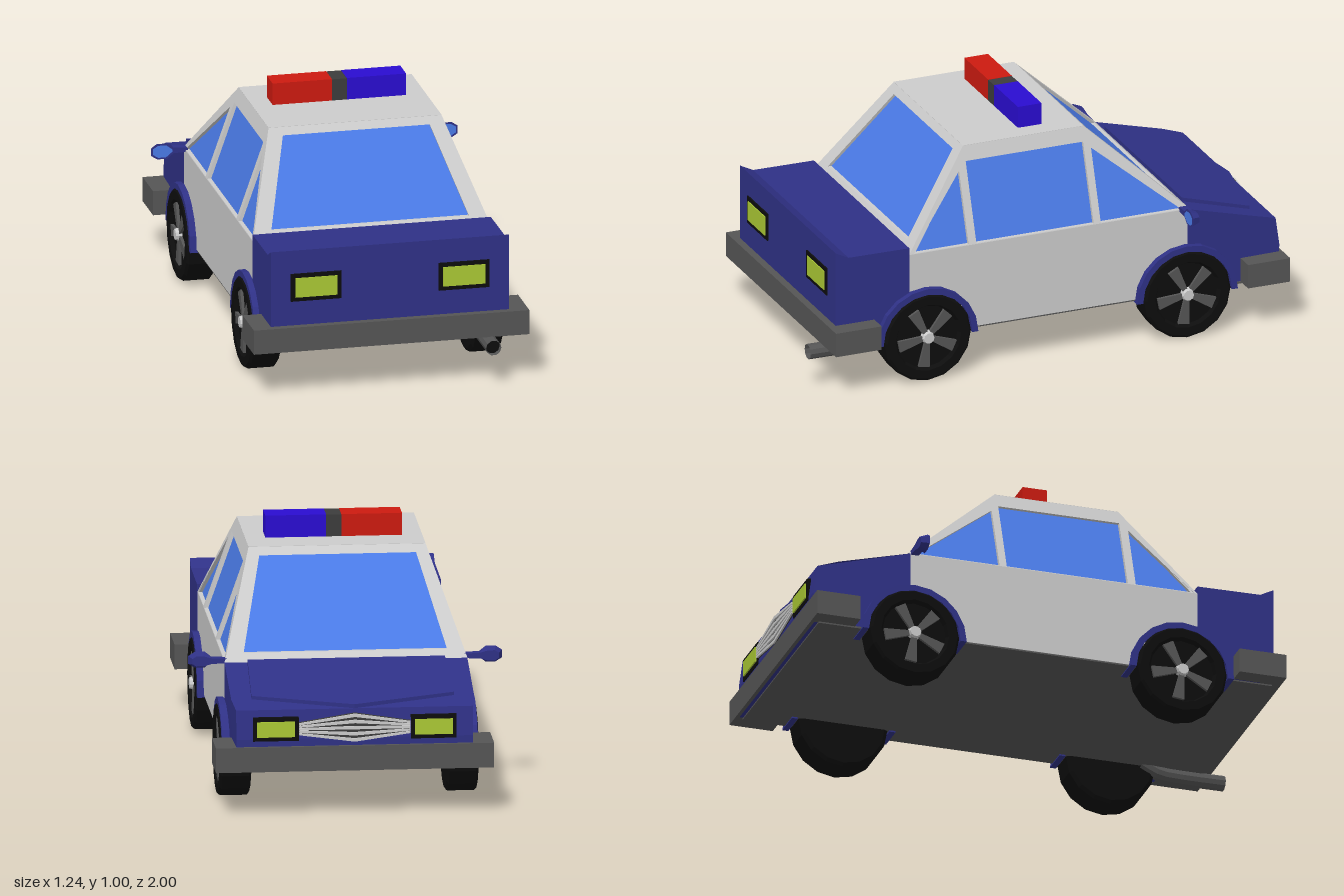
import * as THREE from 'three';

const mat = (color) => new THREE.MeshStandardMaterial({ color, flatShading: true });
const paint = mat(0x2f3186), white = mat(0xcccccc), glass = mat(0x4a7ae6), grey = mat(0x555555),
  black = mat(0x0d0d0d), lamp = mat(0xaac834), red = mat(0xcc1a10), blue = mat(0x2a0cd0), dark = mat(0x3c3c3c);

const toShape = (pts) => new THREE.Shape(pts.map(([x, y]) => new THREE.Vector2(x, y)));

// Moves every vertex by a rule (u, v, w) -> [x, y, z]
function remap(geo, rule) {
  const p = geo.attributes.position;
  for (let i = 0; i < p.count; i++) p.setXYZ(i, ...rule(p.getX(i), p.getY(i), p.getZ(i)));
  geo.computeVertexNormals();
  return geo;
}

// Mirrored copy across x = 0 with its winding put right
function mirrored(geo) {
  const g = geo.index ? geo.toNonIndexed() : geo.clone();
  const p = g.attributes.position, a = new THREE.Vector3(), b = new THREE.Vector3();
  g.scale(-1, 1, 1);
  for (let i = 0; i < p.count; i += 3) {
    a.fromBufferAttribute(p, i + 1);
    b.fromBufferAttribute(p, i + 2);
    p.setXYZ(i + 1, b.x, b.y, b.z);
    p.setXYZ(i + 2, a.x, a.y, a.z);
  }
  g.computeVertexNormals();
  return g;
}

// Solid from a side profile of [z, y] points, between two x values
function sideSolid(pts, x0, x1) {
  const geo = new THREE.ExtrudeGeometry(toShape(pts.map(([z, y]) => [-z, y])), { depth: x1 - x0, bevelEnabled: false });
  return geo.rotateY(Math.PI / 2).translate(x0, 0, 0);
}

export function createModel() {
  const car = new THREE.Group();
  car.name = 'patrolCar';
  const add = (name, geo, material) => {
    const m = new THREE.Mesh(geo, material);
    m.name = name;
    car.add(m);
    return m;
  };
  const box = (name, material, x0, x1, y0, y1, z0, z1) =>
    add(name, new THREE.BoxGeometry(x1 - x0, y1 - y0, z1 - z0)
      .translate((x0 + x1) / 2, (y0 + y1) / 2, (z0 + z1) / 2), material);
  const pair = (name, geo, material) => {
    add(name + 'Left', geo, material);
    add(name + 'Right', mirrored(geo), material);
  };

  // Lower body: doors, boot, nose and floor
  box('doors', white, -0.48, 0.48, 0.19, 0.54, -0.59, 0.6);
  add('boot', sideSolid([[0.6, 0.19], [0.6, 0.57], [0.86, 0.572], [0.915, 0.6], [0.915, 0.19]], -0.482, 0.482), paint);
  const nose = sideSolid([[-0.59, 0.19], [-0.59, 0.54], [-0.89, 0.46], [-0.972, 0.435], [-0.988, 0.32], [-0.985, 0.19]], -0.48, 0.48);
  add('nose', remap(nose, (x, y, z) => [z < -0.95 ? x * 0.975 : x, y, z]), paint);
  box('floor', grey, -0.478, 0.478, 0.184, 0.192, -0.97, 0.91);

  // Raised bonnet panel with a pointed leading edge
  const bonnet = new THREE.ExtrudeGeometry(
    toShape([[-0.39, 0.605], [0.39, 0.605], [0.4, 0.89], [0, 0.972], [-0.4, 0.89]]), { depth: 0.025, bevelEnabled: false });
  add('bonnet', remap(bonnet, (x, v, w) => [x, 0.552 - 0.275 * (v - 0.605) - 0.025 + w, -v]), paint);

  // Bumpers
  box('rearBumper', grey, -0.557, 0.557, 0.19, 0.29, 0.75, 0.945);
  box('frontBumper', grey, -0.55, 0.55, 0.19, 0.29, -1, -0.82);

  // Cabin planes: all four lean inwards from the waist to the roof
  const rise = (y) => (y - 0.54) / 0.37;
  const sideX = (y) => 0.48 - 0.13 * rise(y);
  const rearZ = (y) => 0.6 - 0.285 * rise(y);
  const frontZ = (y) => -0.6 + 0.4 * rise(y);
  const onSide = (u, v, w) => [sideX(v) + w, v, -u];
  const onRear = (u, v, w) => [u, v, rearZ(v) + w];
  const onFront = (u, v, w) => [-u, v, frontZ(v) - w];

  // Frame with window holes, plus recessed panes; w = 0 is the outer face
  function windowFrame(outline, holes, rule) {
    const shape = toShape(outline);
    holes.forEach((h) => shape.holes.push(toShape(h)));
    const frame = new THREE.ExtrudeGeometry(shape, { depth: 0.024, bevelEnabled: false }).translate(0, 0, -0.024);
    const panes = new THREE.ShapeGeometry(holes.map(toShape)).translate(0, 0, -0.016);
    return [remap(frame, rule), remap(panes, rule)];
  }
  const [sideFrame, sidePanes] = windowFrame(
    [[-0.6, 0.54], [0.6, 0.54], [0.2, 0.91], [-0.315, 0.91]],
    [
      [[-0.585, 0.543], [-0.345, 0.543], [-0.345, 0.82]],
      [[-0.312, 0.543], [0.19, 0.543], [0.19, 0.852], [-0.312, 0.852]],
      [[0.22, 0.543], [0.565, 0.543], [0.22, 0.825]],
    ], onSide);
  pair('sideFrame', sideFrame, white);
  pair('sideWindows', sidePanes, glass);
  const ends = [[-0.478, 0.54], [0.478, 0.54], [0.349, 0.91], [-0.349, 0.91]];
  const [rearFrame, rearPane] = windowFrame(ends, [[[-0.4, 0.572], [0.4, 0.572], [0.297, 0.882], [-0.297, 0.882]]], onRear);
  add('rearFrame', rearFrame, white);
  add('rearWindow', rearPane, glass);
  const [frontFrame, frontPane] = windowFrame(ends, [[[-0.402, 0.57], [0.402, 0.57], [0.31, 0.882], [-0.31, 0.882]]], onFront);
  add('windscreenFrame', frontFrame, white);
  add('windscreen', frontPane, glass);
  box('roof', white, -0.35, 0.35, 0.895, 0.911, -0.2, 0.315);

  // Roof light bar
  box('redBeacon', red, -0.27, -0.03, 0.91, 1, -0.055, 0.046);
  box('beaconCentre', dark, -0.03, 0.03, 0.91, 0.999, -0.055, 0.046);
  box('blueBeacon', blue, 0.03, 0.27, 0.91, 1, -0.055, 0.046);

  // Lamps
  for (const s of [-1, 1]) {
    const centred = (name, m, x, y, z, w, h, d) =>
      add(name, new THREE.BoxGeometry(w, h, d).translate(s * x, y, z), m);
    centred('tailLampFrame', black, 0.299, 0.447, 0.915, 0.205, 0.114, 0.012);
    centred('tailLamp', lamp, 0.299, 0.447, 0.916, 0.17, 0.08, 0.018);
    centred('headLampFrame', black, 0.312, 0.36, -0.982, 0.18, 0.095, 0.02);
    centred('headLamp', lamp, 0.312, 0.36, -0.985, 0.15, 0.062, 0.026);
  }

  // Grille: bars that fan out towards the middle
  const grilleBack = new THREE.ExtrudeGeometry(
    toShape([[-0.22, 0.335], [0, 0.305], [0.22, 0.335], [0.22, 0.385], [0, 0.42], [-0.22, 0.385]]),
    { depth: 0.012, bevelEnabled: false });
  add('grilleBack', grilleBack.translate(0, 0, -0.991), dark);
  for (let k = -2; k <= 2; k++) {
    const e = 0.36 + k * 0.01, m = 0.362 + k * 0.025, t = 0.004;
    const bar = new THREE.ExtrudeGeometry(
      toShape([[-0.22, e - t], [0, m - t * 1.6], [0.22, e - t], [0.22, e + t], [0, m + t * 1.6], [-0.22, e + t]]),
      { depth: 0.02, bevelEnabled: false });
    add('grilleBar', bar.translate(0, 0, -0.998), white);
  }

  // Door mirrors with glass facing the driver
  const mirror = new THREE.ExtrudeGeometry(toShape([
    [0.47, 0.535], [0.53, 0.533], [0.555, 0.512], [0.595, 0.512], [0.62, 0.528],
    [0.62, 0.56], [0.595, 0.576], [0.555, 0.576], [0.53, 0.556], [0.47, 0.553]]), { depth: 0.032, bevelEnabled: false });
  // The housing narrows towards its leading side
  remap(mirror, (x, y, z) => (z < 0.01 && x > 0.54 ? [0.58 + (x - 0.58) * 0.65, 0.544 + (y - 0.544) * 0.65, z] : [x, y, z]));
  pair('mirror', mirror.translate(0, 0, -0.588), paint);
  const mirrorGlass = new THREE.ShapeGeometry(toShape([
    [0.535, 0.54], [0.56, 0.519], [0.592, 0.519], [0.612, 0.532], [0.612, 0.557], [0.592, 0.569], [0.56, 0.569], [0.535, 0.55]]));
  pair('mirrorGlass', mirrorGlass.translate(0, 0, -0.554), glass);

  // Wheel pieces, built around the origin with the outer face towards +x
  const tyre = new THREE.LatheGeometry([
    [0, -0.062], [0.17, -0.062], [0.185, -0.052], [0.185, 0.052], [0.175, 0.062], [0.14, 0.062], [0.13, 0.045], [0, 0.045],
  ].map(([r, h]) => new THREE.Vector2(r, h)), 16).rotateZ(-Math.PI / 2);
  const spoke = new THREE.ExtrudeGeometry(toShape([[-0.01, 0.015], [0.01, 0.015], [0.024, 0.125], [-0.024, 0.125]]),
    { depth: 0.014, bevelEnabled: false }).rotateY(Math.PI / 2).translate(0.043, 0, 0);
  const hub = new THREE.CylinderGeometry(0.022, 0.03, 0.03, 10).rotateZ(-Math.PI / 2).translate(0.055, 0, 0);

  for (const z of [-0.58, 0.53]) {
    // Wheel arch: half ring over the wheel
    const arc = [];
    for (const [r, dir] of [[0.215, 1], [0.19, -1]]) {
      for (let i = 0; i <= 10; i++) {
        const a = Math.PI * (dir > 0 ? i : 10 - i) / 10;
        arc.push([z + r * Math.cos(a), 0.178 + r * Math.sin(a)]);
      }
    }
    pair('wheelArch', sideSolid(arc, 0.385, 0.506), paint);

    for (const s of [-1, 1]) {
      const wheel = new THREE.Group();
      wheel.name = (z < 0 ? 'front' : 'rear') + (s > 0 ? 'LeftWheel' : 'RightWheel');
      const part = (name, geo, m) => {
        const mesh = new THREE.Mesh(geo, m);
        mesh.name = name;
        wheel.add(mesh);
        return mesh;
      };
      part('tyre', tyre, black);
      part('hub', hub, white);
      for (let i = 0; i < 5; i++) part('spoke', spoke, grey).rotation.x = (i * 2 * Math.PI) / 5 + 0.5;
      wheel.position.set(s * 0.449, 0.187, z);
      if (s < 0) wheel.rotation.y = Math.PI;
      car.add(wheel);
    }
  }

  // Exhaust: hollow tail and a bend up into the floor
  const exhaust = new THREE.CatmullRomCurve3([[0.2, 0.66], [0.168, 0.73], [0.162, 0.8], [0.162, 1]]
    .map(([y, z]) => new THREE.Vector3(0.4, y, z)));
  const pipe = add('exhaust', new THREE.TubeGeometry(exhaust, 10, 0.031, 10), grey.clone());
  pipe.material.side = THREE.DoubleSide;
  add('exhaustInside', new THREE.CircleGeometry(0.03, 10).translate(0.4, 0.162, 0.975), black);

  return car;
}
